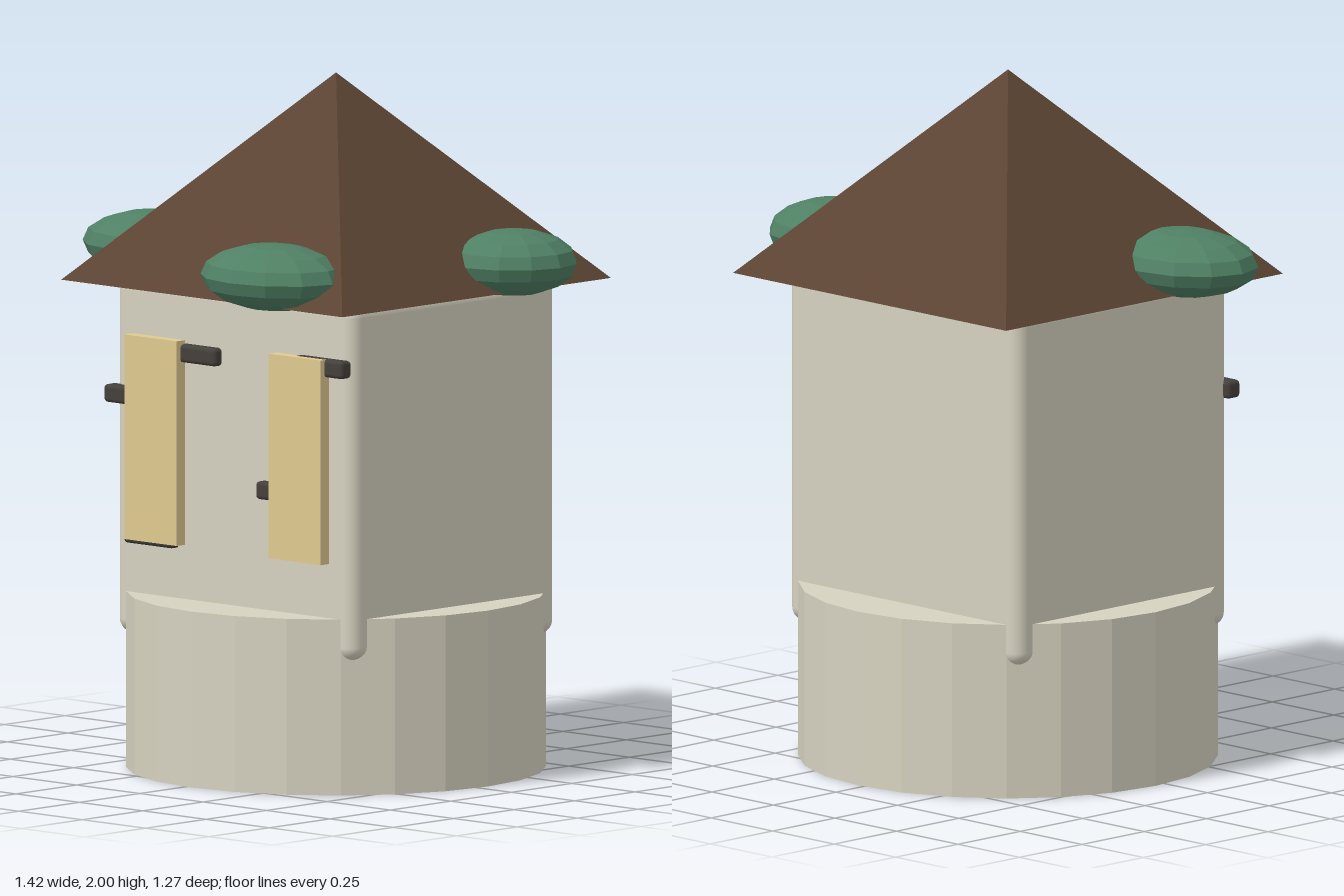
import * as THREE from 'three';
import { RoundedBoxGeometry } from 'three/addons/geometries/RoundedBoxGeometry.js';

const CX = 0.02, CZ = -0.04; // tower axis

const material = (color, flatShading = false) => {
  const m = new THREE.MeshStandardMaterial({ color });
  m.flatShading = flatShading;
  return m;
};

export function createModel() {
  const model = new THREE.Group();
  model.name = 'tower';

  const stone = material(0xd6d2c0);
  const stoneFlat = material(0xd6d2c0, true);
  const roofBrown = material(0x5c4433, true);
  const leafGreen = material(0x4f8064, true);
  const shutterTan = material(0xe0ca90, true);
  const darkIron = material(0x44403c);

  const add = (name, geometry, mat, x, y, z) => {
    const mesh = new THREE.Mesh(geometry, mat);
    mesh.name = name;
    mesh.position.set(x, y, z);
    model.add(mesh);
    return mesh;
  };

  // Round faceted foundation
  add('foundation', new THREE.CylinderGeometry(0.6, 0.6, 0.507, 24), stoneFlat, CX, 0.2535, CZ);

  // Square body with soft edges, its corners reaching past the foundation
  add('body', new RoundedBoxGeometry(0.94, 1.03, 0.85, 4, 0.04), stone, CX, 0.9, CZ);

  // Four-sided pyramid roof
  const roof = new THREE.ConeGeometry(0.555 * Math.SQRT2, 0.595, 4);
  roof.rotateY(Math.PI / 4);
  add('roof', roof, roofBrown, CX, 1.7025, CZ);

  // Foliage clumps on the eaves: centre x, centre z, radius x, radius z
  const clumps = [
    [-0.48, 0.177, 0.235, 0.187],
    [0.525, -0.246, 0.185, 0.185],
    [0.24, 0.447, 0.232, 0.185],
  ];
  for (const [x, z, rx, rz] of clumps) {
    const clump = add('foliage', new THREE.SphereGeometry(1, 12, 8), leafGreen, x, 1.482, z);
    clump.scale.set(rx, 0.095, rz);
  }

  // Tall shutters on the front wall
  for (const x of [-0.263, 0.305]) {
    add('shutter', new THREE.BoxGeometry(0.205, 0.59, 0.035), shutterTan, x, 0.96, 0.412);
  }

  // Dark brackets scattered behind the shutters: centre x, centre y
  const brackets = [[-0.123, 1.218], [-0.37, 1.075], [-0.292, 0.677], [0.378, 1.23], [0.229, 0.853]];
  for (const [x, y] of brackets) {
    add('bracket', new RoundedBoxGeometry(0.194, 0.052, 0.05, 2, 0.012), darkIron, x, y, 0.389);
  }

  return model;
}
